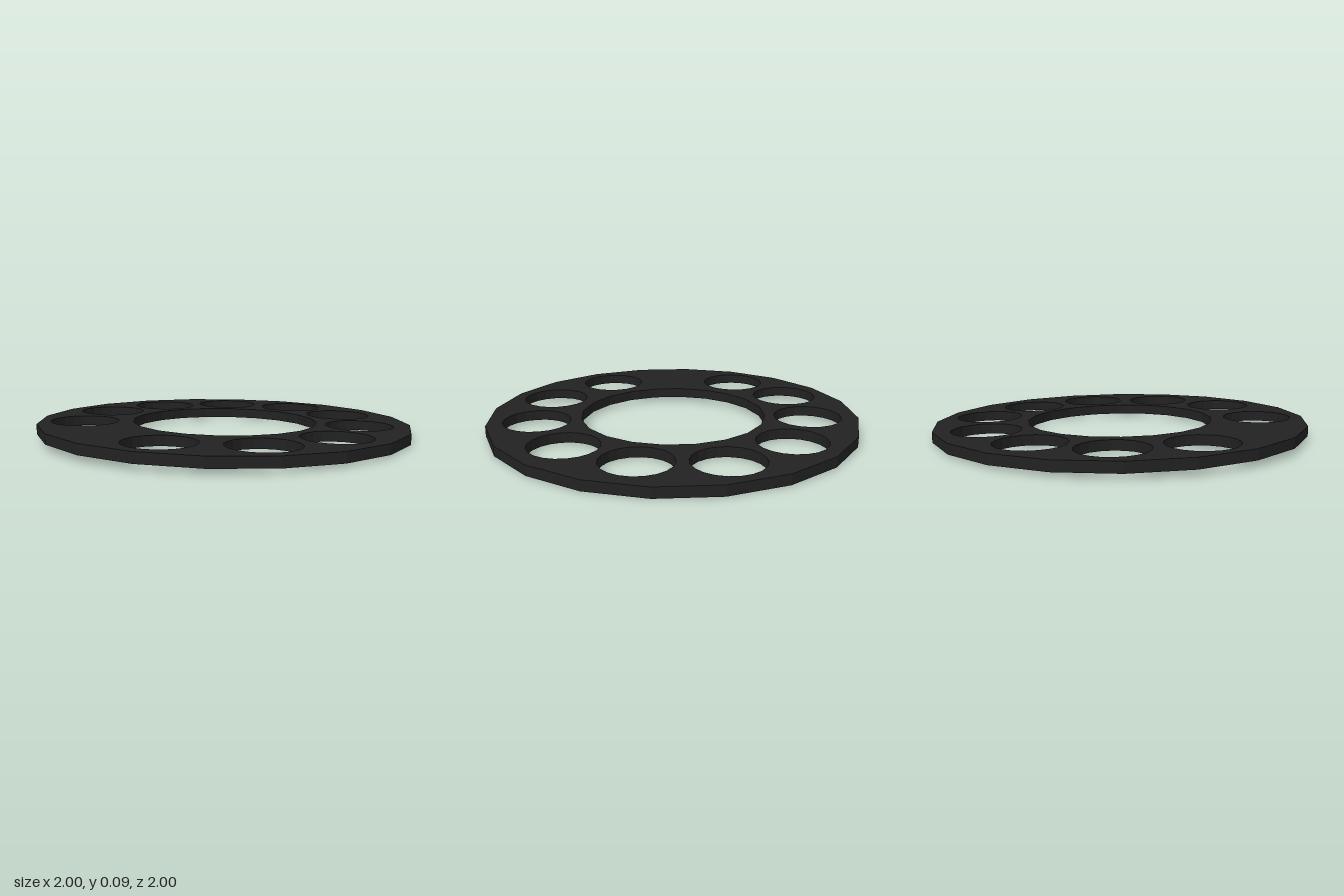
import * as THREE from 'three';

// Regular polygon outline around (cx, cz), in shape space (shape y = -z)
function ring(cx, cz, radius, sides = 20) {
  const points = [];
  for (let i = 0; i < sides; i++) {
    const a = (i / sides) * Math.PI * 2;
    points.push(new THREE.Vector2(cx + radius * Math.cos(a), -cz + radius * Math.sin(a)));
  }
  return points;
}

export function createModel() {
  const group = new THREE.Group();
  group.name = 'perforatedDisc';
  const blackPlastic = new THREE.MeshStandardMaterial({ color: 0x222222, flatShading: true });
  blackPlastic.name = 'black plastic';

  // Finger hole centres (x, z)
  const holes = [
    [-0.75, -0.092], [-0.575, -0.472], [-0.23, -0.692], [0.184, -0.712], [0.549, -0.51],
    [0.714, -0.127], [0.668, 0.285], [0.405, 0.613], [0, 0.75], [-0.446, 0.606],
  ];

  // Flat ring with a large centre opening and the finger holes
  const outline = new THREE.Shape(ring(0, 0, 1));
  outline.holes.push(new THREE.Path(ring(0, 0, 0.5)));
  for (const [x, z] of holes) outline.holes.push(new THREE.Path(ring(x, z, 0.18)));

  const geometry = new THREE.ExtrudeGeometry(outline, { depth: 0.053, bevelEnabled: false });
  geometry.rotateX(-Math.PI / 2);

  // The disc rests at a slight tilt, lowest at the right-hand back rim
  const p = geometry.attributes.position;
  for (let i = 0; i < p.count; i++) {
    p.setY(i, p.getY(i) + 0.017 - 0.016 * p.getX(i) + 0.005 * p.getZ(i));
  }
  geometry.computeVertexNormals();

  const disc = new THREE.Mesh(geometry, blackPlastic);
  disc.name = 'disc';
  group.add(disc);
  return group;
}
